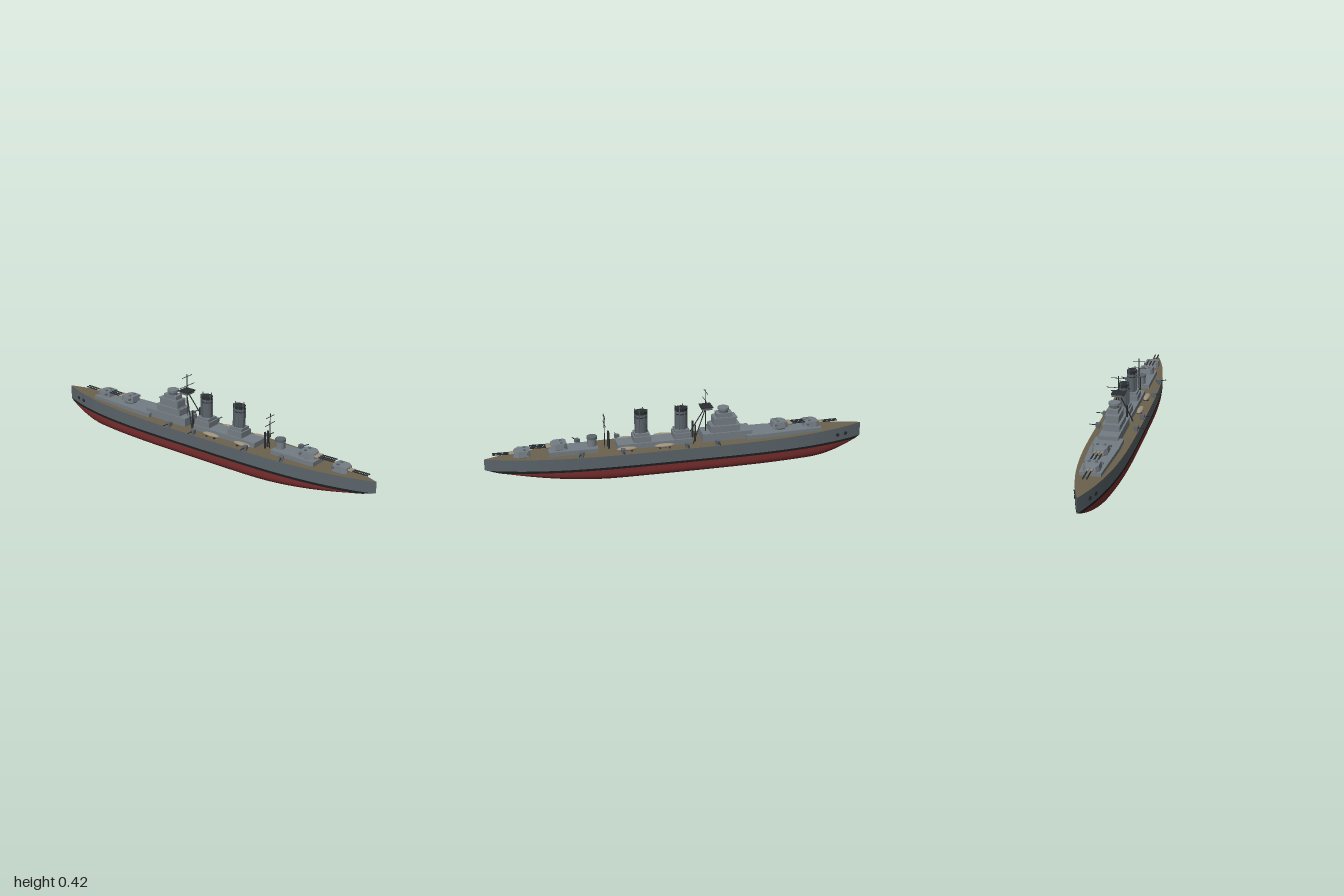
import * as THREE from 'three';

const mat = (color, extra = {}) => new THREE.MeshStandardMaterial({ color, ...extra });
const M = {
  hull: mat(0x5a646a), band: mat(0x1c1e1f), red: mat(0x7a2e2e), deck: mat(0x6b624d),
  grey: mat(0x747d84), mid: mat(0x5c656b), dark: mat(0x2b2f32), boat: mat(0x9c917b),
};

function add(parent, name, geo, material, x = 0, y = 0, z = 0) {
  const m = new THREE.Mesh(geo, material);
  m.name = name;
  m.position.set(x, y, z);
  parent.add(m);
  return m;
}
// Box given by its width, bottom, top and z range
const block = (p, name, w, y0, y1, z0, z1, material = M.grey, x = 0) =>
  add(p, name, new THREE.BoxGeometry(w, y1 - y0, Math.abs(z1 - z0)), material, x, (y0 + y1) / 2, (z0 + z1) / 2);
// Upright cylinder given by bottom and top
const post = (p, name, r, y0, y1, x, z, material = M.grey, seg = 16) =>
  add(p, name, new THREE.CylinderGeometry(r, r, y1 - y0, seg), material, x, (y0 + y1) / 2, z);
// Straight rod between two points
function rod(p, name, a, b, r, material = M.dark) {
  const A = new THREE.Vector3(...a), B = new THREE.Vector3(...b);
  const m = add(p, name, new THREE.CylinderGeometry(r, r, A.distanceTo(B), 8), material);
  m.position.copy(A).add(B).multiplyScalar(0.5);
  m.quaternion.setFromUnitVectors(new THREE.Vector3(0, 1, 0), B.sub(A).normalize());
  return m;
}

// Hull lines as functions of z; the bow is at -z
const halfBeam = z => 0.11 * (1 - Math.abs(z) ** 3.6);
const sheer = z => 0.148 + (z < 0 ? 0.012 * z * z : -0.002 * z * z);
const keel = z => z > 0
  ? 0.003 + 0.085 * Math.max(0, (z - 0.35) / 0.65) ** 1.7
  : 0.003 + 0.083 * Math.max(0, (-z - 0.7) / 0.3) ** 1.9;

// Skin over cross-sections that run along z
function loft(section, steps = 64) {
  const pos = [], idx = [];
  let n = 0;
  for (let i = 0; i <= steps; i++) {
    const z = Math.sin((i / steps - 0.5) * Math.PI);
    const pts = section(z);
    n = pts.length;
    pts.forEach(([x, y]) => pos.push(x, y, z));
  }
  for (let i = 0; i < steps; i++) for (let j = 0; j < n - 1; j++) {
    const a = i * n + j, b = a + n;
    idx.push(a, b, a + 1, b, b + 1, a + 1);
  }
  const g = new THREE.BufferGeometry();
  g.setAttribute('position', new THREE.Float32BufferAttribute(pos, 3));
  g.setIndex(idx);
  g.computeVertexNormals();
  return g;
}

function buildHull(p) {
  const level = (y, z) => Math.max(y, keel(z));
  const strip = (name, lo, hi, material) => {
    add(p, name + 'Left', loft(z => [[halfBeam(z), hi(z)], [halfBeam(z), lo(z)]]), material);
    add(p, name + 'Right', loft(z => [[-halfBeam(z), lo(z)], [-halfBeam(z), hi(z)]]), material);
  };
  const bandLow = z => level(0.073, z), bandHigh = z => level(0.085, z);
  strip('topside', bandHigh, sheer, M.hull);
  strip('waterlineBand', bandLow, bandHigh, M.band);
  add(p, 'deck', loft(z => [[-halfBeam(z), sheer(z)], [halfBeam(z), sheer(z)]]), M.deck);
  // Rounded box section amidships, softer toward the ends
  add(p, 'bottom', loft(z => {
    const e = 2 / (3.6 - 1.5 * Math.abs(z) ** 3), k = keel(z), pts = [];
    for (let j = 0; j <= 28; j++) {
      const a = j / 28 * Math.PI, c = Math.cos(a);
      pts.push([halfBeam(z) * Math.sign(c) * Math.abs(c) ** e,
        bandLow(z) - (bandLow(z) - k) * Math.max(0, Math.sin(a)) ** e]);
    }
    return pts;
  }), M.red);
  for (const s of [-1, 1]) for (const z of [-0.855, -0.905]) {
    const h = add(p, 'hawsePort', new THREE.CylinderGeometry(0.01, 0.01, 0.008, 16), M.dark, s * halfBeam(z), 0.118, z);
    h.rotation.set(0, s * 0.33, Math.PI / 2);
  }
}

// Gun turret on a round base; local +z is the firing direction
function turret(p, name, y, z, dir, guns) {
  const g = new THREE.Group();
  g.name = name;
  g.position.set(0, y, z);
  if (dir < 0) g.rotation.y = Math.PI;
  p.add(g);
  post(g, 'barbette', 0.034, -0.025, 0.002, 0, 0, M.mid, 24);
  const plan = [[-0.026, -0.045], [0.026, -0.045], [0.04, -0.022], [0.04, 0.03], [0.028, 0.043], [-0.028, 0.043], [-0.04, 0.03], [-0.04, -0.022]];
  const geo = new THREE.ExtrudeGeometry(new THREE.Shape(plan.map(q => new THREE.Vector2(...q))), { depth: 0.03, bevelEnabled: false });
  geo.rotateX(-Math.PI / 2);
  const v = geo.attributes.position;
  for (let i = 0; i < v.count; i++) if (v.getY(i) > 0.01) {
    v.setX(i, v.getX(i) * 0.9);
    v.setZ(i, v.getZ(i) * 0.88);
    if (v.getZ(i) > 0.03) v.setY(i, 0.025);
  }
  geo.computeVertexNormals();
  add(g, 'gunhouse', geo, M.grey);
  block(g, 'rangefinder', 0.092, 0.014, 0.023, -0.032, -0.022, M.mid);
  for (const s of [-1, 1]) block(g, 'hatch', 0.012, 0.028, 0.034, -0.018, -0.006, M.mid, s * 0.018);
  for (let i = 0; i < guns; i++) {
    const x = (i - (guns - 1) / 2) * 0.018;
    rod(g, 'gunSleeve', [x, 0.014, 0.035], [x, 0.014, 0.065], 0.0065, M.boat);
    rod(g, 'gunBarrel', [x, 0.014, 0.03], [x, 0.016, 0.147], 0.0036);
  }
}

function funnel(p, z) {
  const g = new THREE.Group();
  g.name = 'funnel';
  g.position.z = z;
  p.add(g);
  block(g, 'funnelBase', 0.078, 0.17, 0.205, -0.045, 0.045);
  block(g, 'funnelStep', 0.064, 0.205, 0.22, -0.038, 0.038);
  const oval = (name, r0, r1, y0, y1, m) => {
    const c = add(g, name, new THREE.CylinderGeometry(r1, r0, y1 - y0, 32), m, 0, (y0 + y1) / 2, 0);
    c.scale.x = 0.76;
  };
  oval('funnelCasing', 0.031, 0.031, 0.21, 0.324, M.mid);
  oval('funnelCap', 0.033, 0.035, 0.318, 0.335, M.dark);
  oval('funnelBand', 0.0325, 0.0325, 0.3, 0.305, M.dark);
  for (let i = 0; i < 8; i++) {
    const a = (i + 0.5) / 8 * Math.PI * 2;
    post(g, 'steamPipe', 0.0025, 0.215, i % 2 ? 0.322 : 0.345, Math.cos(a) * 0.025, Math.sin(a) * 0.033, M.mid, 8);
  }
}

function mast(p, name, z, top, yards) {
  const g = new THREE.Group();
  g.name = name;
  p.add(g);
  rod(g, 'pole', [0, 0.15, z], [0, top, z], 0.0022);
  for (const [y, w] of yards) rod(g, 'yard', [-w, y, z], [w, y, z], 0.0016);
  return g;
}

export function createModel() {
  const ship = new THREE.Group();
  ship.name = 'battleship';
  buildHull(ship);

  // Forward deckhouse, narrower toward the bow
  const plan = [[-0.07, 0.345], [0.07, 0.345], [0.07, 0.46], [0.052, 0.76], [-0.052, 0.76], [-0.07, 0.46]];
  const fore = new THREE.ExtrudeGeometry(new THREE.Shape(plan.map(q => new THREE.Vector2(...q))), { depth: 0.025, bevelEnabled: false });
  fore.rotateX(-Math.PI / 2);
  add(ship, 'foreDeckhouse', fore, M.grey, 0, 0.147, 0);

  // Bridge tiers: width, bottom, top, z range
  [[0.1, 0.145, 0.192, -0.38, -0.115], [0.082, 0.192, 0.226, -0.315, -0.16], [0.09, 0.222, 0.228, -0.318, -0.17],
    [0.066, 0.228, 0.265, -0.298, -0.178], [0.072, 0.262, 0.268, -0.302, -0.182], [0.052, 0.268, 0.29, -0.278, -0.195]]
    .forEach(t => block(ship, 'bridgeTier', ...t));
  post(ship, 'director', 0.024, 0.29, 0.306, 0, -0.235, M.mid, 24);
  post(ship, 'directorHead', 0.03, 0.306, 0.317, 0, -0.235, M.grey, 24);

  // Midship deckhouse with both funnels
  block(ship, 'midDeckhouse', 0.094, 0.145, 0.175, -0.06, 0.33);
  [-0.01, 0.2].forEach(z => funnel(ship, z));

  // Aft deckhouse and control tower
  block(ship, 'aftDeckhouse', 0.1, 0.143, 0.17, 0.43, 0.68);
  post(ship, 'aftTower', 0.024, 0.17, 0.21, 0, 0.455, M.grey, 24);
  post(ship, 'aftTowerCap', 0.027, 0.208, 0.22, 0, 0.455, M.mid, 24);

  turret(ship, 'bowTurret', 0.172, -0.715, -1, 2);
  turret(ship, 'bowUpperTurret', 0.183, -0.54, -1, 3);
  turret(ship, 'sternUpperTurret', 0.175, 0.625, 1, 3);
  turret(ship, 'sternTurret', 0.153, 0.81, 1, 2);

  // Fore tripod mast with spotting top
  const fm = mast(ship, 'foreMast', -0.14, 0.42, [[0.357, 0.061], [0.408, 0.039]]);
  block(fm, 'spottingTop', 0.058, 0.316, 0.33, -0.168, -0.115, M.mid);
  block(fm, 'spottingRoof', 0.066, 0.328, 0.333, -0.172, -0.111, M.dark);
  for (const s of [-1, 1]) {
    rod(fm, 'tripodLeg', [s * 0.058, 0.15, -0.06], [s * 0.006, 0.318, -0.138], 0.0028);
    post(fm, 'kingPost', 0.005, 0.15, 0.242, s * 0.03, -0.078, M.dark, 10);
  }
  // Main mast with its short posts
  const mm = mast(ship, 'mainMast', 0.39, 0.335, [[0.28, 0.042], [0.318, 0.033]]);
  for (const s of [-1, 1]) post(mm, 'kingPost', 0.005, 0.146, 0.235, s * 0.012, 0.37, M.dark, 10);

  // Boats: a half ellipsoid hull with a low cover, on two chocks
  for (const [x, z] of [[-0.07, 0.075], [0.07, 0.092], [-0.068, 0.27], [0.068, 0.288]]) {
    const b = add(ship, 'boat', new THREE.SphereGeometry(1, 20, 12), M.boat, x, 0.162, z);
    b.scale.set(0.016, 0.01, 0.052);
    for (const d of [-0.025, 0.025]) block(ship, 'boatChock', 0.024, 0.146, 0.158, z + d - 0.003, z + d + 0.003, M.dark, x);
  }

  // Secondary guns along both deck edges
  for (const s of [-1, 1]) for (const [z, turn] of [[-0.18, 0.1], [-0.02, 0], [0.31, -0.1], [0.52, -0.45]]) {
    const g = new THREE.Group();
    g.name = 'sideGun';
    g.position.set(s * (halfBeam(z) - 0.012), 0.146, z);
    g.rotation.y = s > 0 ? turn : Math.PI - turn;
    ship.add(g);
    post(g, 'mount', 0.009, 0, 0.012, 0, 0, M.mid, 12);
    block(g, 'shield', 0.022, 0.01, 0.029, -0.011, 0.011, M.mid);
    rod(g, 'barrel', [0, 0.02, 0], [0.044, 0.021, 0], 0.0025);
  }
  return ship;
}
